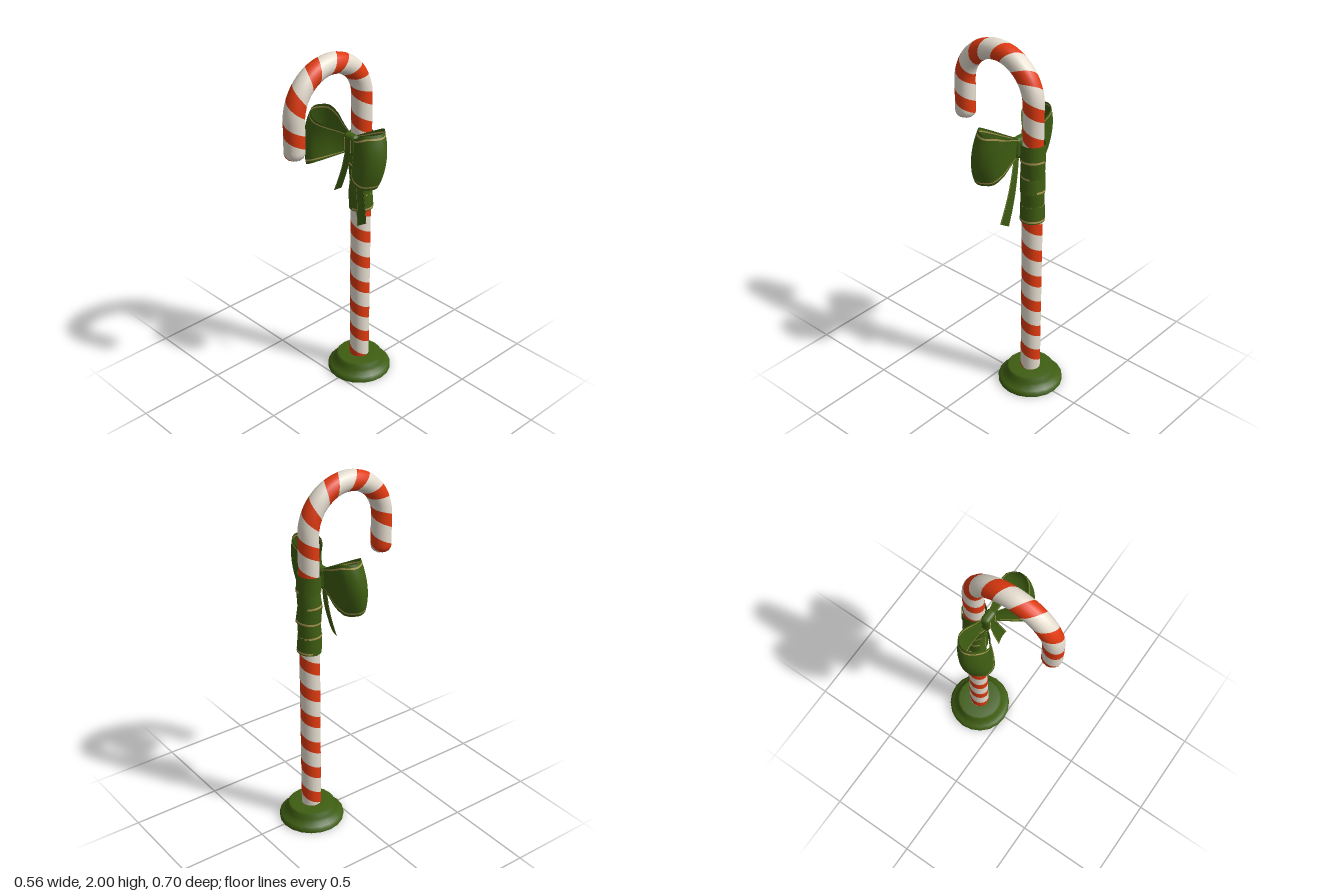
import * as THREE from 'three';
import { RoundedBoxGeometry } from 'three/addons/geometries/RoundedBoxGeometry.js';

const mat = (name, color) => {
  const m = new THREE.MeshStandardMaterial({ color, side: THREE.DoubleSide });
  m.name = name;
  return m;
};

// Grid surface from a rule f(u, v) -> [x, y, z], u and v in 0..1
function surface(f, nu, nv) {
  const pos = [], idx = [];
  for (let i = 0; i <= nu; i++)
    for (let j = 0; j <= nv; j++) pos.push(...f(i / nu, j / nv));
  for (let i = 0; i < nu; i++)
    for (let j = 0; j < nv; j++) {
      const a = i * (nv + 1) + j, b = a + nv + 1;
      idx.push(a, b, a + 1, b, b + 1, a + 1);
    }
  const g = new THREE.BufferGeometry();
  g.setAttribute('position', new THREE.Float32BufferAttribute(pos, 3));
  g.setIndex(idx);
  g.computeVertexNormals();
  return g;
}

export function createModel() {
  const group = new THREE.Group();
  const red = mat('candyRed', 0xe03a10);
  const white = mat('creamWhite', 0xe6ddcf);
  const green = mat('ribbonGreen', 0x3f5e12);
  const tan = mat('trimTan', 0xb09a55);
  const add = (name, geo, material, parent = group) => {
    const m = new THREE.Mesh(geo, material);
    m.name = name;
    parent.add(m);
    return m;
  };

  const CX = -0.012, CZ = -0.17;

  // Cane: straight pole, half-circle hook, short straight end with a rounded tip
  const R = 0.2325, r0 = 0.055, bottom = 0.03, bend = 1.7125;
  const arcEnd = bend + Math.PI * R, end = arcEnd + bend - 1.5, tip = 0.04;
  function canePoint(s, th) {
    s = Math.min(end, Math.max(bottom, s));
    const a = Math.min(Math.PI, Math.max(0, (s - bend) / R));
    let y = bend + R * Math.sin(a);
    const z = CZ + R - R * Math.cos(a);
    if (s < bend) y = s;
    if (s > arcEnd) y = bend - (s - arcEnd);
    const t = Math.max(0, (s - end + tip) / tip);
    const r = r0 * Math.sqrt(Math.max(0, 1 - t * t));
    const f = r * Math.cos(th);
    return [CX + r * Math.sin(th), y - f * Math.sin(a), z + f * Math.cos(a)];
  }

  // Stripes: two interlocking helical bands that together form the cane skin
  const pitch = 0.165, t0 = -13, t1 = 7;
  const band = (o0, o1) => surface((u, v) => {
    const turn = t0 + (t1 - t0) * u;
    const s = 0.93 + pitch * (o0 + (o1 - o0) * v - turn);
    return canePoint(s, turn * Math.PI * 2);
  }, (t1 - t0) * 16, 8);
  const cane = new THREE.Group();
  cane.name = 'cane';
  group.add(cane);
  add('redStripe', band(-0.215, 0.215), red, cane);
  add('whiteStripe', band(0.215, 0.785), white, cane);

  // Base: hollow stepped foot
  const profile = [[0.18, 0], [0.18, 0.022], [0.165, 0.028], [0.15, 0.045], [0.14, 0.06],
    [0.132, 0.085], [0.122, 0.095], [0.05, 0.095]].map(p => new THREE.Vector2(...p));
  add('base', new THREE.LatheGeometry(profile, 20), green).position.set(CX, 0, CZ);

  // Ribbon wrapped round the pole: overlapping tilted turns with tan edging
  const wrap = new THREE.Group();
  wrap.name = 'ribbonWrap';
  group.add(wrap);
  const turns = [[1.11, 0.066, 0.03], [1.195, 0.063, -0.05], [1.28, 0.066, 0.08],
    [1.365, 0.064, -0.06], [1.455, 0.066, 0.04]];
  turns.forEach(([y, r, tilt], i) => {
    const turn = new THREE.Group();
    turn.name = 'wrapTurn' + (i + 1);
    turn.position.set(CX, y, CZ);
    turn.rotation.set(tilt, 0, tilt);
    wrap.add(turn);
    add('wrapCloth', new THREE.CylinderGeometry(r - 0.002, r, 0.1, 16, 1, true), green, turn);
    const edge = add('wrapEdge', new THREE.CylinderGeometry(r + 0.001, r + 0.001, 0.011, 16, 1, true,
      i * 1.3, 4.4), tan, turn);
    edge.position.y = -0.038;
  });

  // Cloth strips: green body with a narrow tan line near both edges
  const strips = [[-1, -0.9, green], [-0.9, -0.84, tan], [-0.84, 0.84, green],
    [0.84, 0.9, tan], [0.9, 1, green]];
  function ribbon(name, f, nu) {
    const g = new THREE.Group();
    g.name = name;
    group.add(g);
    for (const [a, b, m] of strips)
      add(m === tan ? 'edging' : 'cloth', surface((u, v) => f(u, a + (b - a) * v), nu, b - a > 1 ? 8 : 1), m, g);
  }

  // Bow loops, mirrored about the knot
  const KX = -0.004, KY = 1.465;
  const loop = new THREE.CatmullRomCurve3([[0.02, -0.1], [0.09, -0.105], [0.17, -0.118], [0.24, -0.103],
    [0.28, -0.045], [0.245, 0.022], [0.185, 0.042], [0.13, 0.012], [0.075, -0.04], [0.02, -0.085]]
    .map(([x, z]) => new THREE.Vector3(x, 0, z)));
  for (const side of [-1, 1])
    ribbon(side > 0 ? 'leftBowLoop' : 'rightBowLoop', (u, v) => {
      const p = loop.getPoint(u), k = Math.min(1, p.x / 0.24);
      const h = 0.04 + 0.108 * k;
      return [KX + side * (p.x - 0.035 * v * v * k), KY + v * h, p.z - 0.018 * v * k];
    }, 28);

  // Knot with two tan lines
  add('knot', new RoundedBoxGeometry(0.085, 0.115, 0.05, 3, 0.02), green).position.set(KX, KY, -0.088);
  for (const x of [-0.022, 0.022])
    add('knotEdging', new THREE.BoxGeometry(0.005, 0.075, 0.004), tan).position.set(KX + x, KY, -0.063);

  // Tails: widening strips with slanted ends, given by their four corners
  const lerp = THREE.MathUtils.lerp;
  function tail(name, [tl, tr, bl, br], z0) {
    ribbon(name, (u, v) => {
      const w = (v + 1) / 2;
      const at = k => lerp(lerp(tl[k], tr[k], w), lerp(bl[k], br[k], w), u);
      return [at(0), at(1), z0 + 0.012 * u - 0.012 * Math.sin(u * Math.PI) + 0.006 * v * v];
    }, 8);
  }
  tail('rightTail', [[-0.04, 1.43], [0.0, 1.43], [-0.115, 1.155], [-0.055, 1.195]], -0.086);
  tail('leftTail', [[-0.005, 1.43], [0.035, 1.43], [0.06, 1.005], [0.13, 1.05]], -0.09);

  return group;
}
